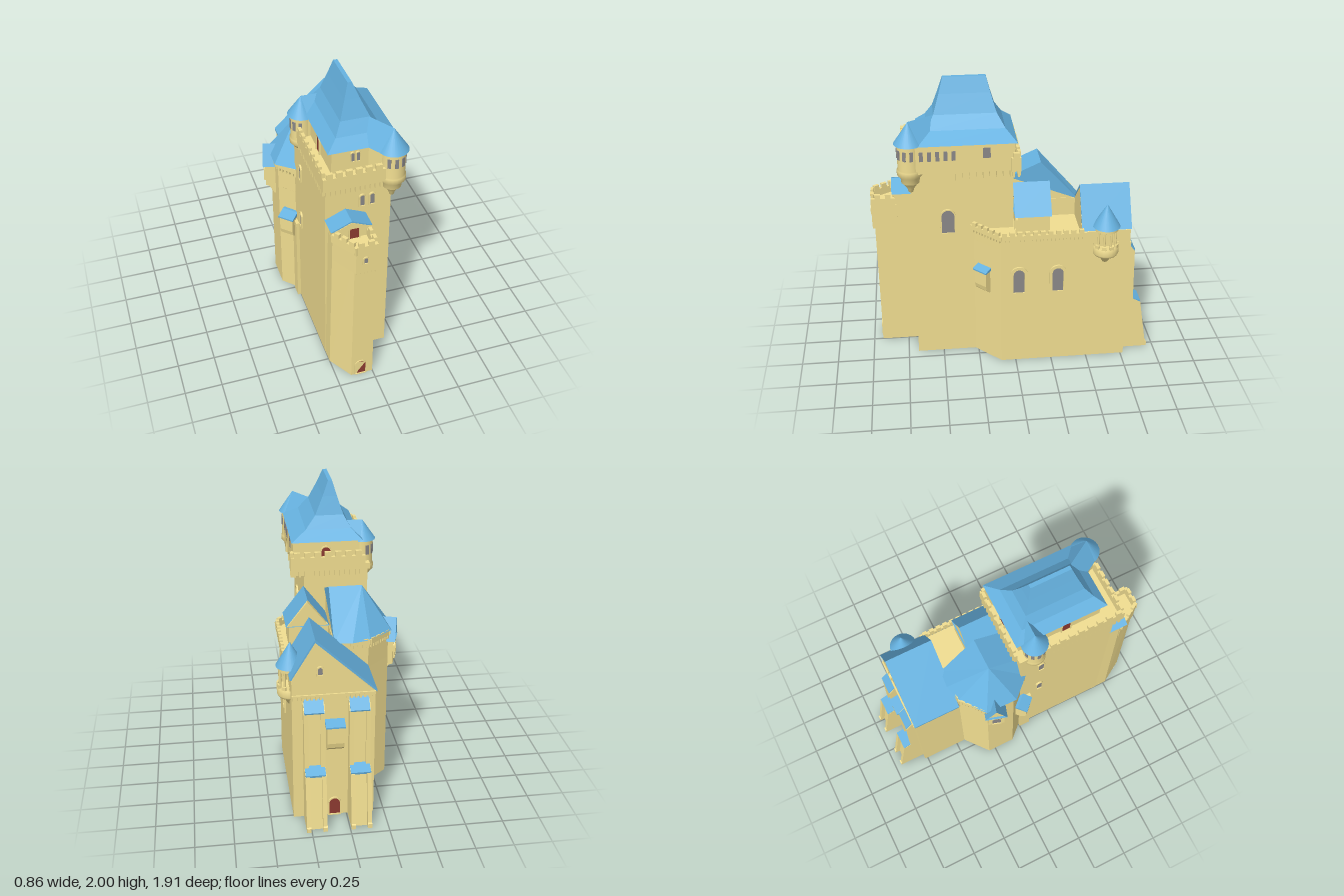
import * as THREE from 'three';

const wall = new THREE.MeshStandardMaterial({ color: 0xf0dd90, side: THREE.DoubleSide });
const roof = new THREE.MeshStandardMaterial({ color: 0x66b2e0, side: THREE.DoubleSide });
const red = new THREE.MeshStandardMaterial({ color: 0x8c3a30 });
const grey = new THREE.MeshStandardMaterial({ color: 0x8a8888 });

function add(parent, name, geo, mat, x = 0, y = 0, z = 0, ry = 0) {
  const m = new THREE.Mesh(geo, mat);
  m.name = name;
  m.position.set(x, y, z);
  m.rotation.y = ry;
  parent.add(m);
  return m;
}
// Box given by its minimum and maximum corners
function box(p, name, mat, x0, x1, y0, y1, z0, z1) {
  return add(p, name, new THREE.BoxGeometry(x1 - x0, y1 - y0, z1 - z0), mat, (x0 + x1) / 2, (y0 + y1) / 2, (z0 + z1) / 2);
}
function group(p, name, x, y, z, ry = 0) {
  const g = new THREE.Group();
  g.name = name;
  g.position.set(x, y, z);
  g.rotation.y = ry;
  p.add(g);
  return g;
}
const shapeOf = pts => new THREE.Shape(pts.map(([a, b]) => new THREE.Vector2(a, b)));
const extrude = (shape, depth) => new THREE.ExtrudeGeometry(shape, { depth, bevelEnabled: false, curveSegments: 8 });
// Vertical prism over an [x, z] outline
const prism = (pts, y0, y1) => extrude(shapeOf(pts.map(([x, z]) => [x, -z])), y1 - y0).rotateX(-Math.PI / 2).translate(0, y0, 0);
// [outward, y] profile swept across a width centred on x, outward is +z
const side = (pts, w) => extrude(shapeOf(pts), w).rotateY(-Math.PI / 2).translate(w / 2, 0, 0);
// Flat-faced skin through closed rings of [x, y, z] points
function loft(rings) {
  const v = [];
  for (let r = 0; r < rings.length - 1; r++) {
    const a = rings[r], b = rings[r + 1], n = a.length;
    for (let i = 0; i < n; i++) {
      const j = (i + 1) % n;
      v.push(...a[i], ...a[j], ...b[j], ...a[i], ...b[j], ...b[i]);
    }
  }
  const g = new THREE.BufferGeometry();
  g.setAttribute('position', new THREE.Float32BufferAttribute(v, 3));
  g.computeVertexNormals();
  return g;
}
// Hollow walls, open at the ground, over an [x, z] outline
const shell = (pts, y1, top = pts) => loft([pts.map(([x, z]) => [x, 0, z]), top.map(([x, z]) => [x, y1, z])]);
function arch(w, h) {
  const s = new THREE.Shape();
  s.moveTo(-w / 2, 0);
  s.lineTo(w / 2, 0);
  s.lineTo(w / 2, h - w / 2);
  s.absarc(0, h - w / 2, w / 2, 0, Math.PI, false);
  return s;
}
// Arched opening with a raised frame, facing local +z
function opening(p, name, mat, x, y, z, ry, w, h, frame = 0.008) {
  const g = group(p, name, x, y, z, ry);
  const outer = arch(w + 2 * frame, h + 2 * frame);
  outer.holes.push(new THREE.Path(arch(w, h).getPoints(8).map(q => q.add(new THREE.Vector2(0, frame)))));
  add(g, name + 'Frame', extrude(outer, 0.012), wall, 0, -frame, 0);
  add(g, name + 'Panel', extrude(arch(w, h), 0.005), mat);
}
// Battlement run with merlons above and corbels below
function parapet(p, [x0, z0], [x1, z1], y0, y1, merlon = 0.035, step = 0.055, corbel = 0.04) {
  const L = Math.hypot(x1 - x0, z1 - z0), n = Math.max(1, Math.round(L / step)), t = 0.022;
  const g = group(p, 'parapet', (x0 + x1) / 2, 0, (z0 + z1) / 2, -Math.atan2(z1 - z0, x1 - x0));
  box(g, 'parapetWall', wall, -L / 2 - t / 2, L / 2 + t / 2, y0, y1 - merlon, -t / 2, t / 2);
  for (let i = 0; i < n; i++) {
    const c = -L / 2 + (i + 0.5) * L / n;
    box(g, 'merlon', wall, c - step * 0.32, c + step * 0.32, y1 - merlon, y1, -t / 2, t / 2);
    if (corbel) for (const d of [-0.25, 0.25]) box(g, 'corbel', wall, c + d * step - 0.007, c + d * step + 0.007, y0 - corbel, y0, -t / 2, t / 2);
  }
}
// Gable roof with its ridge along local z
const gable = (w, h, L) => extrude(shapeOf([[-w / 2, 0], [w / 2, 0], [0, h]]), L);
function oriel(p, x, y, z, ry, w = 0.1, h = 0.2, d = 0.06) {
  const g = group(p, 'oriel', x, y, z, ry);
  add(g, 'orielBody', side([[-0.04, 0], [d * 0.4, 0], [d * 0.85, 0.025], [d, 0.06], [d, h - 0.03], [-0.04, h - 0.01]], w), wall);
  add(g, 'orielRoof', side([[-0.04, h - 0.02], [d + 0.01, h - 0.035], [d + 0.01, h - 0.025], [0, h], [-0.04, h]], w + 0.016), roof);
}
// Round turret on a conical corbel, linked by a gabled wing
function turret(p, x, z, y0, y1, yTop, r, tail, dx, dz) {
  const g = group(p, 'turret', x, 0, z);
  const prof = [[0.001, -tail], [0.016, -tail * 0.92], [0.022, -tail * 0.75], [r * 0.6, -tail * 0.45], [r * 0.7, -tail * 0.42], [r * 0.75, -0.02], [r, 0], [r, 0.035], [r * 0.92, 0.04], [r * 0.92, y1 - y0]];
  add(g, 'turretBody', new THREE.LatheGeometry(prof.map(([a, b]) => new THREE.Vector2(a, b)), 20), wall, 0, y0, 0);
  add(g, 'turretCone', new THREE.ConeGeometry(r * 1.15, yTop - y1, 24), roof, 0, (y1 + yTop) / 2, 0);
  const link = group(g, 'turretLink', 0, 0, 0, Math.atan2(dx, dz)), L = Math.hypot(dx, dz);
  box(link, 'linkWall', wall, -r * 0.85, r * 0.85, y0 + 0.01, y1, 0, L);
  add(link, 'linkRoof', gable(r * 2.2, yTop - y1, L), roof, 0, y1, 0);
  for (let i = 0; i < 5; i++) {
    const a = Math.atan2(dx, dz) + Math.PI + (i - 2) * 0.6;
    add(g, 'turretWindow', new THREE.BoxGeometry(0.022, 0.065, 0.008), grey, Math.sin(a) * r * 0.92, y1 - 0.065, Math.cos(a) * r * 0.92, a);
  }
}

function tower(root) {
  const g = group(root, 'tower', 0, 0, 0);
  box(g, 'towerShaft', wall, -0.252, 0.18, 0.9, 1.45, 0, 0.68);
  box(g, 'towerDeck', wall, -0.265, 0.22, 1.43, 1.47, -0.02, 0.71);
  box(g, 'upperStorey', wall, -0.185, 0.245, 1.45, 1.64, 0.01, 0.6);
  // Overhanging side wall with an arch on two piers
  const s = shapeOf([[0, 1.64], [0, 1.44], [0.34, 1.44], [0.355, 1.42], [0.355, 1.37], [0.385, 1.37], [0.385, 1.42]]);
  s.absarc(0.455, 1.43, 0.07, Math.PI, 0, true);
  [[0.525, 1.37], [0.555, 1.37], [0.555, 1.42], [0.575, 1.44], [0.66, 1.44], [0.66, 1.64]].forEach(q => s.lineTo(...q));
  add(g, 'overhang', extrude(s, 0.075).rotateY(-Math.PI / 2), wall, 0.252, 0, 0);
  for (let i = 0; i < 8; i++) box(g, 'corbel', wall, 0.18, 0.245, 1.39, 1.44, 0.01 + i * 0.044, 0.028 + i * 0.044);
  // Battlements
  [[[0.262, -0.03], [-0.22, -0.03]], [[0.262, 0.01], [0.262, -0.03]], [[-0.268, 0.18], [-0.268, 0.72]], [[-0.268, 0.72], [0.11, 0.72]]]
    .forEach(([a, b]) => parapet(g, a, b, 1.44, 1.57, 0.035, 0.065));
  // Flared hipped roof
  const ring = ([y, x0, x1, z0, z1]) => [[x0, y, z0], [x0, y, z1], [x1, y, z1], [x1, y, z0]];
  add(g, 'towerRoof', loft([[1.635, 0.02, 0.02, 0.3, 0.3], [1.635, -0.215, 0.262, -0.02, 0.625], [1.7, -0.145, 0.16, 0.05, 0.56], [1.78, -0.1, 0.09, 0.1, 0.51],
    [1.9, -0.062, 0.035, 0.135, 0.47], [2, -0.032, -0.005, 0.16, 0.44], [2, -0.02, -0.02, 0.3, 0.3]].map(ring)), roof);
  turret(g, 0.185, 0.675, 1.42, 1.635, 1.78, 0.085, 0.14, -0.11, -0.18);
  turret(g, -0.228, 0.1, 1.4, 1.61, 1.74, 0.078, 0.07, 0.14, 0);
  // Windows and doors
  const R = Math.PI / 2;
  opening(g, 'window', grey, 0.18, 0.965, 0.44, R, 0.085, 0.17);
  for (const x of [-0.01, 0.055]) opening(g, 'window', grey, x, 1.25, 0.68, 0, 0.03, 0.08);
  for (const x of [-0.05, -0.015]) opening(g, 'window', grey, x, 1.54, 0.6, 0, 0.022, 0.065, 0.004);
  for (let i = 0; i < 5; i++) box(g, 'slitWindow', grey, 0.25, 0.255, 1.53, 1.595, 0.38 + i * 0.052, 0.405 + i * 0.052);
  box(g, 'sideWindow', grey, 0.25, 0.256, 1.54, 1.61, 0.155, 0.205);
  for (const y of [0.72, 1.12]) opening(g, 'window', grey, -0.252, y, 0.15, -R, 0.04, 0.11);
  opening(g, 'door', red, 0.03, 1.47, 0.01, Math.PI, 0.06, 0.12);
  opening(g, 'door', red, -0.185, 1.47, 0.35, -R, 0.06, 0.12);
}

function frontAnnex(root) {
  const g = group(root, 'frontAnnex', 0, 0, 0);
  const foot = [[-0.25, 0.68], [-0.25, 0.77], [-0.15, 0.935], [0, 0.935], [0, 0.68]];
  add(g, 'annexBody', shell(foot, 1.09, [[-0.232, 0.68], [-0.232, 0.77], [-0.14, 0.935], [0, 0.935], [0, 0.68]]), wall);
  add(g, 'annexFloor', prism(foot, 0, 0.01), wall);
  add(g, 'annexHead', prism([[-0.235, 0.78], [-0.138, 0.952], [0.003, 0.952], [0.003, 0.78]], 0.94, 1.1), wall);
  [[[-0.23, 0.79], [-0.135, 0.942]], [[-0.135, 0.942], [-0.006, 0.942]], [[-0.006, 0.942], [-0.006, 0.8]]]
    .forEach(([a, b]) => parapet(g, a, b, 1.09, 1.18, 0.03, 0.06, 0));
  for (let i = 0; i < 6; i++) box(g, 'corbel', wall, -0.13 + i * 0.024, -0.118 + i * 0.024, 0.925, 0.94, 0.93, 0.95);
  box(g, 'gatehouse', wall, -0.225, -0.005, 1.08, 1.19, 0.66, 0.795);
  add(g, 'gatehouseRoof', gable(0.27, 0.06, 0.14), roof, -0.12, 1.185, 0.67);
  add(g, 'gatehouseGable', gable(0.23, 0.05, 0.01), wall, -0.12, 1.185, 0.803);
  opening(g, 'door', red, -0.1, 1.1, 0.797, 0, 0.06, 0.1);
  opening(g, 'door', red, -0.085, 0.006, 0.93, 0, 0.07, 0.115, 0.006);
  opening(g, 'window', grey, -0.075, 1.015, 0.948, 0, 0.025, 0.045);
}

function hall(root) {
  const g = group(root, 'hall', 0, 0, 0), R = Math.PI / 2;
  // One continuous outer wall around tower, hall, apse and back wing
  add(g, 'outerWalls', shell([[-0.252, 0.68], [0.18, 0.68], [0.18, 0.27], [0.35, 0.1], [0.35, -0.77], [-0.18, -0.77],
    [-0.18, -0.435], [-0.345, -0.3], [-0.345, -0.1], [-0.252, 0]], 0.9), wall);
  add(g, 'terrace', prism([[0.17, 0.275], [0.35, 0.1], [0.35, -0.46], [-0.05, -0.46], [-0.05, 0.02], [0.1, 0.275]], 0.9, 0.98), wall);
  [[[0.18, 0.28], [0.362, 0.105]], [[0.362, 0.105], [0.362, -0.46]]].forEach(([a, b]) => parapet(g, a, b, 0.985, 1.04, 0.025, 0.05, 0.02));
  for (const z of [-0.02, -0.285]) opening(g, 'hallWindow', grey, 0.35, 0.565, z, R, 0.075, 0.18, 0.022);
  oriel(g, 0.235, 0.535, 0.195, R / 2);
  // Terrace house
  box(g, 'terraceHouse', wall, 0.05, 0.31, 0.97, 1.14, -0.23, -0.015);
  add(g, 'houseGable', gable(0.27, 0.17, 0.215), wall, 0.185, 1.13, -0.23);
  add(g, 'houseRoof', loft([[[0.04, 1.13, -0.24], [0.185, 1.32, -0.24], [0.33, 1.13, -0.24]], [[0.04, 1.13, 0.005], [0.185, 1.32, 0.005], [0.33, 1.13, 0.005]]]), roof);
  opening(g, 'door', red, 0.27, 1.0, -0.015, 0, 0.065, 0.13);
  // Polygonal apse with hipped roof
  add(g, 'apse', prism([[0.04, -0.45], [-0.19, -0.43], [-0.345, -0.3], [-0.345, -0.1], [-0.22, 0.03], [0.04, 0.03]], 0.9, 1.11), wall);
  const eave = [[-0.08, -0.44], [-0.2, -0.43], [-0.345, -0.305], [-0.345, -0.1], [-0.24, 0.03]];
  for (let i = 0; i < 4; i++) parapet(g, eave[i], eave[i + 1], 1.07, 1.11, 0.005, 0.05, 0.025);
  const B = [-0.18, 1.39, -0.2], A = [0.04, 1.39, -0.2];
  add(g, 'apseRoof', loft([[[0.04, 1.1, -0.46], [-0.08, 1.1, -0.47], [-0.2, 1.1, -0.44], [-0.365, 1.1, -0.31], [-0.37, 1.1, -0.09], [-0.25, 1.12, 0.04], [-0.18, 1.29, 0.02], [0.04, 1.29, 0.02]],
    [A, B, B, B, B, B, B, A]]), roof);
  add(g, 'hallGable', extrude(shapeOf([[-0.02, 0.95], [-0.02, 1.275], [0.2, 1.38], [0.445, 1.1], [0.445, 0.95]]), 0.04).rotateY(R), wall, -0.004, 0, 0);
  // Gabled bay on the apse
  const bay = group(g, 'apseBay', -0.328, 0, -0.235, -R - 0.3);
  add(bay, 'bayBody', side([[-0.05, 0.78], [0.01, 0.78], [0.045, 0.84], [0.07, 0.85], [0.07, 1.03], [-0.05, 1.03]], 0.11), wall);
  add(bay, 'bayGable', gable(0.11, 0.11, 0.11), wall, 0, 1.03, -0.04);
  add(bay, 'bayRoof', loft([[[-0.075, 1.02, -0.1], [0, 1.17, -0.1], [0.075, 1.02, -0.1]], [[-0.075, 1.02, 0.085], [0, 1.17, 0.085], [0.075, 1.02, 0.085]]]), roof);
  opening(bay, 'bayWindow', grey, 0, 0.89, 0.07, 0, 0.06, 0.11);
  oriel(g, -0.29, 0.535, -0.015, -R / 2);
  box(g, 'cornerShaft', wall, -0.275, -0.24, 0, 0.68, 0.0, 0.08);
}

function backWing(root) {
  const g = group(root, 'backWing', 0, 0, 0), zb = -0.77;
  add(g, 'wingGable', extrude(shapeOf([[-0.18, 0.88], [0.35, 0.88], [0.35, 1.01], [0.2, 1.27], [-0.18, 0.905]]), 0.33), wall, 0, 0, zb);
  add(g, 'wingRoof', extrude(shapeOf([[-0.19, 0.905], [0.2, 1.27], [0.35, 1.02], [0.36, 1.02], [0.2, 1.29], [-0.19, 0.92]]), 0.335), roof, 0, 0, zb - 0.005);
  for (let i = 0; i < 19; i++) box(g, 'corbel', wall, -0.175 + i * 0.028, -0.161 + i * 0.028, 0.875, 0.9, zb - 0.01, zb + 0.01);
  box(g, 'corbelBand', wall, -0.18, 0.35, 0.9, 0.912, zb - 0.01, zb + 0.01);
  opening(g, 'gableWindow', grey, 0.17, 1.05, zb, Math.PI, 0.03, 0.05);
  opening(g, 'backDoor', red, 0.08, 0.008, zb, Math.PI, 0.07, 0.12);
  oriel(g, 0.08, 0.52, zb, Math.PI, 0.11, 0.21, 0.06);
  // Stepped buttresses: two ribs, a recessed web and caps
  for (const x of [-0.075, 0.215]) {
    const b = group(g, 'buttress', x, 0, -0.78, Math.PI);
    const rib = [[-0.02, 0], [0.175, 0], [0.175, 0.03], [0.165, 0.035], [0.11, 0.38], [0.055, 0.41], [0.045, 0.8], [0, 0.86], [-0.02, 0.86]];
    const web = [[-0.02, 0], [0.14, 0], [0.085, 0.38], [0.04, 0.4], [0.025, 0.8], [-0.02, 0.84]];
    for (const s of [-1, 1]) add(b, 'buttressRib', side(rib, 0.028), wall, s * 0.053);
    add(b, 'buttressWeb', side(web, 0.1), wall);
    add(b, 'upperCap', side([[-0.01, 0.86], [0.045, 0.8], [0.048, 0.81], [-0.01, 0.88]], 0.125), roof);
    add(b, 'lowerCap', side([[0.035, 0.405], [0.107, 0.375], [0.11, 0.39], [0.035, 0.425]], 0.13), roof);
  }
  // Corner lookout with open columns
  const l = group(g, 'lookout', 0.34, 0, -0.605);
  const prof = [[0.001, 0.77], [0.02, 0.775], [0.045, 0.82], [0.08, 0.835], [0.088, 0.85], [0.088, 0.9], [0.07, 0.9], [0.001, 0.89]];
  add(l, 'lookoutBase', new THREE.LatheGeometry(prof.map(([a, c]) => new THREE.Vector2(a, c)), 20), wall);
  for (let i = 0; i < 10; i++) {
    const a = i * Math.PI / 5, sx = Math.sin(a), sz = Math.cos(a);
    add(l, 'lookoutMerlon', new THREE.BoxGeometry(0.03, 0.025, 0.014), wall, sx * 0.08, 0.91, sz * 0.08, a);
    add(l, 'lookoutColumn', new THREE.CylinderGeometry(0.008, 0.008, 0.14, 8), wall, sx * 0.07, 0.97, sz * 0.07);
  }
  add(l, 'lookoutRing', new THREE.CylinderGeometry(0.08, 0.08, 0.03, 20), wall, 0, 1.035, 0);
  add(l, 'lookoutRoof', new THREE.ConeGeometry(0.093, 0.16, 24), roof, 0, 1.125, 0);
}

export function createModel() {
  const root = new THREE.Group();
  root.name = 'castle';
  tower(root);
  frontAnnex(root);
  hall(root);
  backWing(root);
  return root;
}
